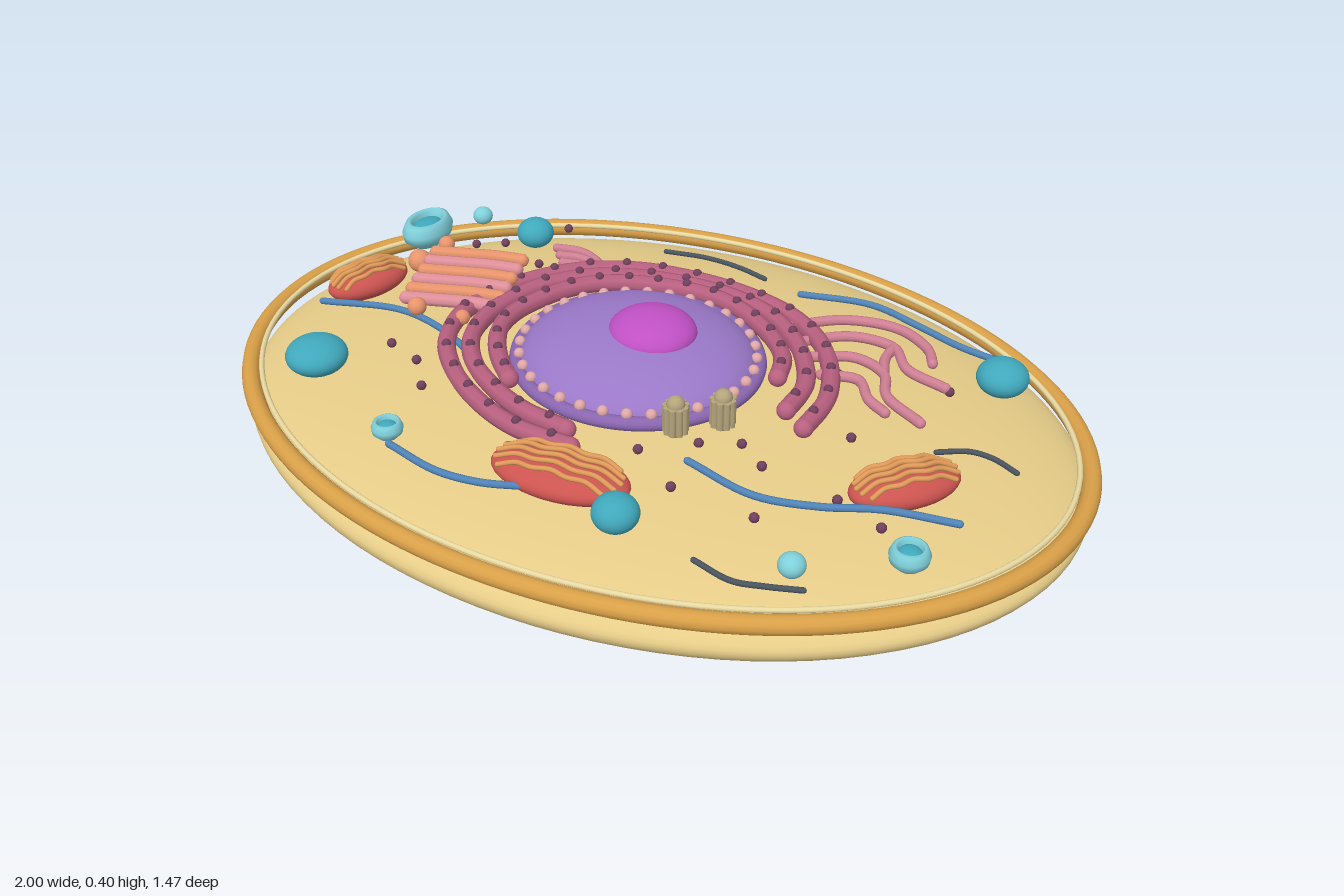
import * as THREE from 'three';

const material = (color) => new THREE.MeshStandardMaterial({ color });
const M = {
  cytoplasm: material(0xe6cc88), rim: material(0xd9a048), innerRim: material(0xe8d8a0),
  nucleus: material(0x9a78c8), envelope: material(0x8a66b0), nucleolus: material(0xc050c4), pore: material(0xe0a8a8),
  roughER: material(0xb8607f), ribosome: material(0x70405c), smoothER: material(0xd08094),
  golgi: material(0xe8946c), golgiPink: material(0xe0909a), mito: material(0xcc5450), crista: material(0xe09a58),
  vacuole: material(0x40a8bc), vesicle: material(0x80d0da), centriole: material(0xb5a57c),
  fibre: material(0x5084b8), filament: material(0x4a5560),
};

export function createModel() {
  const root = new THREE.Group();
  root.name = 'cell';

  const add = (name, geometry, mat, parent = root) => {
    const mesh = new THREE.Mesh(geometry, mat);
    mesh.name = name;
    parent.add(mesh);
    return mesh;
  };
  const group = (name, parent = root) => {
    const g = new THREE.Group();
    g.name = name;
    parent.add(g);
    return g;
  };
  const unit = new THREE.SphereGeometry(1, 32, 20);
  const smallUnit = new THREE.SphereGeometry(1, 10, 8);
  const ball = (name, mat, [x, y, z], [rx, ry, rz], parent = root) => {
    const mesh = add(name, rx < 0.02 ? smallUnit : unit, mat, parent);
    mesh.position.set(x, y, z);
    mesh.scale.set(rx, ry, rz);
    return mesh;
  };
  // Round tube with closed ends through a few points
  const tube = (name, mat, pts, r, parent = root) => {
    const v = pts.map((p) => new THREE.Vector3(...p));
    const curve = new THREE.CatmullRomCurve3(v);
    add(name, new THREE.TubeGeometry(curve, Math.max(24, pts.length * 6), r, 8), mat, parent);
    for (const p of [pts[0], pts[pts.length - 1]]) ball(name + 'End', mat, p, [r, r, r], parent);
    return curve;
  };
  const flat = (y, pts) => pts.map(([x, z]) => [x, y, z]);
  // Closed elliptical ring with a slight tilt
  const ring = (name, mat, [cx, y, cz], rx, rz, r, tilt = 0) => {
    const pts = [];
    for (let i = 0; i < 48; i++) {
      const a = (i / 48) * Math.PI * 2;
      pts.push(new THREE.Vector3(cx + rx * Math.cos(a), y + tilt * Math.sin(a), cz + rz * Math.sin(a)));
    }
    add(name, new THREE.TubeGeometry(new THREE.CatmullRomCurve3(pts, true), 128, r, 12, true), mat);
  };

  // Lens-shaped body: shallow dome over a deeper bowl
  const dome = add('cytoplasmTop', new THREE.SphereGeometry(1, 96, 24, 0, Math.PI * 2, 0, Math.PI / 2), M.cytoplasm);
  dome.scale.set(0.985, 0.125, 0.725);
  const bowl = add('cytoplasmBottom',
    new THREE.SphereGeometry(1, 96, 24, 0, Math.PI * 2, Math.PI / 2, Math.PI / 2), M.cytoplasm);
  bowl.scale.set(0.985, 0.14, 0.725);
  dome.position.y = bowl.position.y = 0.14;

  // Membrane rings
  ring('membraneRim', M.rim, [0, 0.203, 0], 0.979, 0.712, 0.021, 0.007);
  ring('innerMembrane', M.innerRim, [0, 0.219, 0], 0.953, 0.688, 0.006, 0.005);

  // Nucleus, its envelope and pores
  const NX = -0.045, NZ = -0.015;
  ball('nucleus', M.nucleus, [NX, 0.265, NZ], [0.272, 0.095, 0.255]);
  ball('nucleolus', M.nucleolus, [-0.01, 0.345, -0.02], [0.1, 0.05, 0.096]);
  ring('nuclearEnvelope', M.envelope, [NX, 0.272, NZ], 0.275, 0.258, 0.016);
  const pores = group('nuclearPores');
  for (let i = 0; i < 32; i++) {
    const a = (i / 32) * Math.PI * 2;
    ball('pore', M.pore, [NX + 0.268 * Math.cos(a), 0.29, NZ + 0.25 * Math.sin(a)], [0.013, 0.013, 0.013], pores);
  }

  // Rough reticulum: nested arcs studded with ribosomes
  const rough = group('roughReticulum');
  [[0.325, 0.285, 10, 235], [0.385, 0.325, -8, 272], [0.445, 0.368, -12, 276]].forEach(([rx, rz, from, to], k) => {
    const pts = [];
    for (let i = 0; i <= 16; i++) {
      const a = THREE.MathUtils.degToRad(from + ((to - from) * i) / 16);
      const wave = 1 + 0.012 * Math.sin(i * 1.6 + k);
      pts.push([NX + rx * wave * Math.cos(a), 0.29 - 0.008 * k, NZ - rz * wave * Math.sin(a)]);
    }
    const curve = tube('cisterna', M.roughER, pts, 0.021, rough);
    const n = 17 + 3 * k;
    for (let i = 0; i < n; i++) {
      const p = curve.getPointAt((i + 0.5) / n);
      ball('boundRibosome', M.ribosome, [p.x, p.y + 0.018, p.z], [0.011, 0.011, 0.011], rough);
    }
  });

  // Smooth reticulum: branching tubules
  const smooth = group('smoothReticulum');
  [
    [[0.2, -0.31], [0.3, -0.39], [0.42, -0.41], [0.51, -0.36], [0.54, -0.31]],
    [[0.24, -0.25], [0.34, -0.33], [0.44, -0.33], [0.5, -0.26], [0.6, -0.23]],
    [[0.28, -0.2], [0.38, -0.25], [0.46, -0.22], [0.5, -0.14], [0.6, -0.08]],
    [[0.34, -0.15], [0.42, -0.17], [0.47, -0.11], [0.52, -0.08]],
    [[0.44, -0.33], [0.44, -0.28], [0.46, -0.22]],
  ].forEach((p) => tube('tubule', M.smoothER, flat(0.268, p), 0.012, smooth));
  for (let i = 0; i < 4; i++) {
    const z = -0.365 + 0.028 * i, x = -0.47 + 0.025 * i;
    tube('tubule', M.smoothER, flat(0.265, [[x, z], [x + 0.06, z - 0.012], [x + 0.12, z + 0.01], [x + 0.17, z + 0.05]]), 0.011, smooth);
  }

  // Golgi stack and its budding vesicles
  const golgi = group('golgi');
  for (let i = 0; i < 6; i++) {
    const z = -0.135 + 0.034 * i, x = -0.67 + 0.006 * i, y = 0.312 - 0.006 * i;
    tube('golgiCisterna', i % 2 ? M.golgiPink : M.golgi,
      flat(y, [[x, z], [x + 0.07, z - 0.025], [x + 0.14, z - 0.05], [x + 0.205, z - 0.065]]), 0.016, golgi);
  }
  [[-0.71, -0.12, 0.028], [-0.59, 0.06, 0.022], [-0.7, -0.22, 0.02], [-0.47, 0.05, 0.018]].forEach(([x, z, r]) =>
    ball('golgiVesicle', M.golgi, [x, 0.285, z], [r, r, r], golgi));

  // Mitochondria with cristae folded across the upper face
  [[-0.785, -0.01, 0.105, 0.06, 1.2], [0.027, 0.435, 0.155, 0.08, 0.06], [0.65, 0.135, 0.122, 0.067, 0.85]]
    .forEach(([x, z, a, b, turn]) => {
      const g = group('mitochondrion');
      g.position.set(x, 0.267, z);
      g.rotation.y = turn;
      ball('mitochondrionBody', M.mito, [0, 0, 0], [a, 0.038, b], g);
      for (let i = -2; i <= 2; i++) {
        const v = i * 0.27, half = Math.sqrt(1 - v * v) * 0.9, pts = [];
        for (let j = -3; j <= 3; j++) {
          const u = (j / 3) * half;
          const h = Math.sqrt(Math.max(0, 1 - u * u - v * v));
          pts.push([u * a, 0.04 * h + 0.003, (v + (j % 2 ? 0.05 : -0.05)) * b]);
        }
        tube('crista', M.crista, pts, 0.0055, g);
      }
    });

  // Vacuoles and vesicles
  [[-0.68, 0.32, 0.07], [0.695, -0.33, 0.058], [-0.555, -0.4, 0.046], [0.19, 0.495, 0.049]].forEach(([x, z, r]) =>
    ball('vacuole', M.vacuole, [x, 0.27, z], [r, Math.min(0.041, r * 0.8), r]));
  [[-0.727, -0.42, 0.025], [0.556, 0.468, 0.028]].forEach(([x, z, r]) =>
    ball('vesicle', M.vesicle, [x, 0.265, z], [r, r * 0.9, r]));
  // Open vesicles: a lipped cup around a darker core
  const cupProfile = [[0, -0.8], [0.6, -0.65], [0.95, -0.2], [1, 0.2], [0.85, 0.65], [0.7, 0.75], [0.6, 0.6], [0.55, 0.3]]
    .map((p) => new THREE.Vector2(...p));
  const cupGeometry = new THREE.LatheGeometry(cupProfile, 32);
  const cupMaterial = M.vesicle.clone();
  cupMaterial.side = THREE.DoubleSide;
  [[-0.8, -0.28, 0.055, 0.078, 0.048], [0.743, 0.345, 0.041, 0.041, 0.034], [-0.37, 0.478, 0.034, 0.034, 0.028]]
    .forEach(([x, z, rx, rz, ry]) => {
      const g = group('openVesicle');
      g.position.set(x, 0.27, z);
      g.scale.set(rx, ry, rz);
      add('vesicleCup', cupGeometry, cupMaterial, g);
      ball('vesicleCore', M.vacuole, [0, 0.2, 0], [0.6, 0.4, 0.6], g);
    });

  // Centriole pair
  [[0.235, 0.12], [0.16, 0.19]].forEach(([x, z]) => {
    const g = group('centriole');
    g.position.set(x, 0.302, z);
    add('centrioleCore', new THREE.CapsuleGeometry(0.02, 0.062, 6, 16), M.centriole, g);
    for (let i = 0; i < 9; i++) {
      const a = (i / 9) * Math.PI * 2;
      const rod = add('microtubule', new THREE.CylinderGeometry(0.008, 0.008, 0.065, 8), M.centriole, g);
      rod.position.set(0.021 * Math.cos(a), -0.003, 0.021 * Math.sin(a));
    }
  });

  // Cytoskeleton fibres
  [
    [[0.155, -0.45], [0.32, -0.485], [0.45, -0.45], [0.57, -0.41], [0.71, -0.39]],
    [[0.23, 0.27], [0.4, 0.31], [0.53, 0.28], [0.64, 0.23], [0.79, 0.2]],
    [[-0.82, 0.12], [-0.64, 0.065], [-0.5, 0.09], [-0.36, 0.16]],
    [[-0.34, 0.515], [-0.2, 0.545], [-0.1, 0.535], [-0.02, 0.505]],
    [[-0.72, -0.19], [-0.62, -0.15], [-0.53, -0.16]],
  ].forEach((p) => tube('fibre', M.fibre, flat(0.265, p), 0.008));
  [
    [[-0.235, -0.5], [-0.13, -0.52], [-0.04, -0.515], [0.04, -0.495]],
    [[0.66, -0.02], [0.72, -0.055], [0.77, -0.055], [0.83, -0.03]],
    [[0.38, 0.53], [0.47, 0.55], [0.53, 0.535], [0.6, 0.51]],
  ].forEach((p) => tube('filament', M.filament, flat(0.252, p), 0.006));

  // Free ribosomes
  const free = group('freeRibosomes');
  [[-0.5, -0.47], [-0.6, -0.33], [-0.66, -0.29], [-0.47, -0.28], [-0.4, -0.26], [-0.36, -0.29], [-0.55, -0.24],
    [-0.48, 0.22], [-0.41, 0.3], [-0.57, 0.19], [0.22, 0.2], [0.3, 0.16], [0.37, 0.21], [0.24, 0.36], [0.43, 0.37],
    [0.49, 0.03], [0.55, 0.24], [0.66, 0.28], [0.61, -0.23], [0.37, -0.18], [0.12, 0.28], [-0.12, 0.4]]
    .forEach(([x, z]) => ball('freeRibosome', M.ribosome, [x, 0.262, z], [0.011, 0.011, 0.011], free));

  return root;
}
